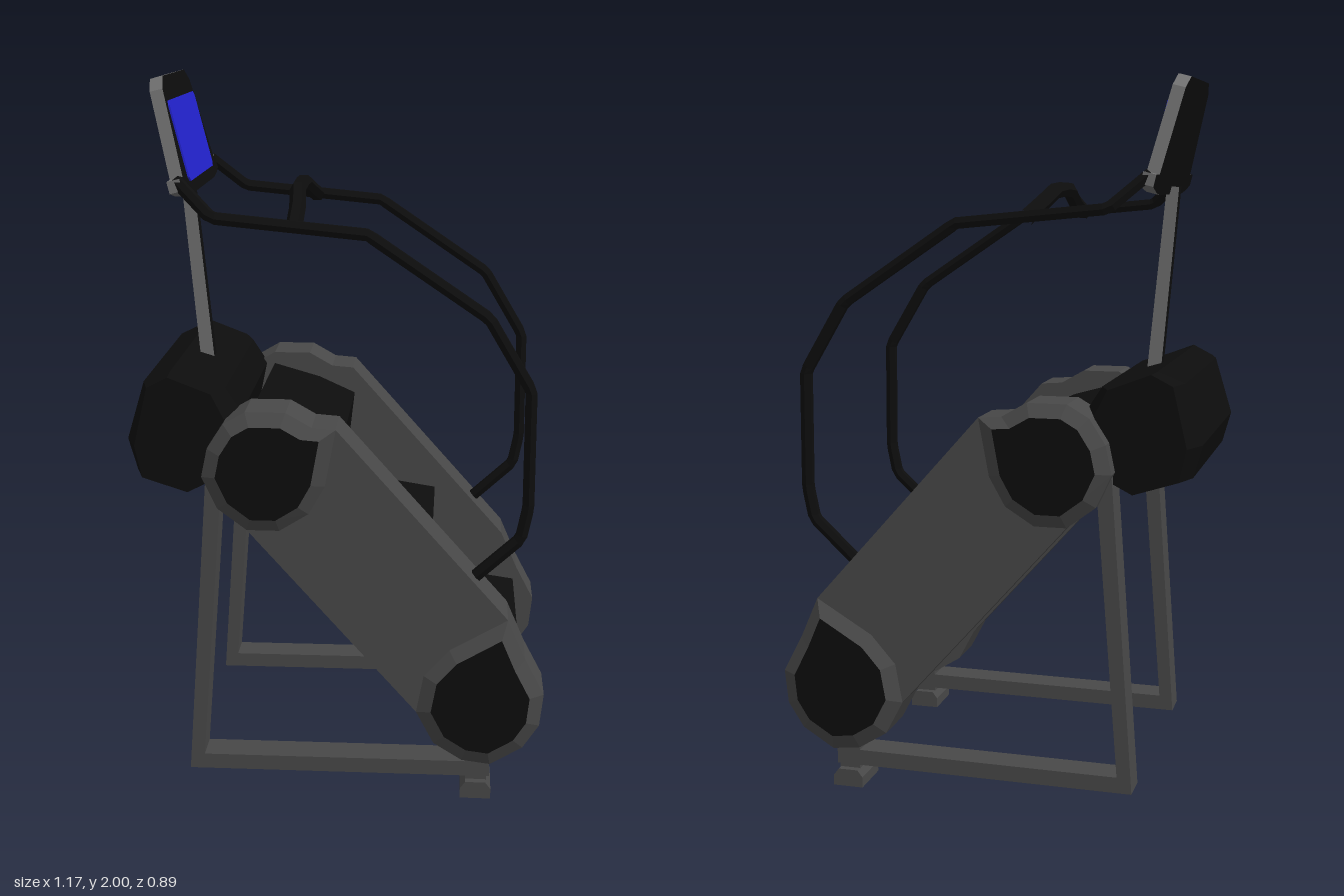
import * as THREE from 'three';

const black = new THREE.MeshStandardMaterial({ color: 0x0d0d0d });
black.name = 'black';
const darkGray = new THREE.MeshStandardMaterial({ color: 0x484848 });
darkGray.name = 'dark gray';
const lightGray = new THREE.MeshStandardMaterial({ color: 0x707070 });
lightGray.name = 'light gray';
const blue = new THREE.MeshStandardMaterial({ color: 0x2323d2 });
blue.name = 'screen blue';

const shapeOf = (pts) => new THREE.Shape(pts.map(([x, y]) => new THREE.Vector2(x, y)));

// Prism of an x-y outline between two z values
function prism(pts, z0, z1, steps = 1) {
  const g = new THREE.ExtrudeGeometry(shapeOf(pts), { depth: z1 - z0, steps, bevelEnabled: false });
  return g.translate(0, 0, z0);
}

// Moves every vertex by a rule and keeps the faces flat
function reshape(g, rule) {
  const p = g.attributes.position;
  const v = new THREE.Vector3();
  for (let i = 0; i < p.count; i++) {
    v.fromBufferAttribute(p, i);
    rule(v);
    p.setXYZ(i, v.x, v.y, v.z);
  }
  g.computeVertexNormals();
  return g;
}

// Faceted bar along straight stretches
function bar(points, radius, segments = 80) {
  const path = new THREE.CatmullRomCurve3(points.map((p) => new THREE.Vector3(...p)), false, 'catmullrom', 0);
  const g = new THREE.TubeGeometry(path, segments, radius, 6, false).toNonIndexed();
  g.computeVertexNormals();
  return g;
}

export function createModel() {
  const model = new THREE.Group();
  model.name = 'stairClimber';
  const add = (name, geometry, material, parent = model) => {
    const mesh = new THREE.Mesh(geometry, material);
    mesh.name = name;
    parent.add(mesh);
    return mesh;
  };

  // Side panel outlines: upper round end, lower round end, and the whole beam
  const upperEnd = [[0.005, 1.09], [-0.06, 1.095], [-0.13, 1.135], [-0.24, 1.135], [-0.3, 1.1],
    [-0.345, 1.03], [-0.362, 0.95], [-0.32, 0.86], [-0.24, 0.8]];
  const lowerEnd = [[0.23, 0.27], [0.28, 0.175], [0.36, 0.125], [0.44, 0.115], [0.53, 0.17],
    [0.575, 0.24], [0.585, 0.335], [0.53, 0.44], [0.48, 0.555]];
  const panel = [...upperEnd, ...lowerEnd];
  const caps = [
    ['upperCap', [...upperEnd, [-0.15, 0.8], [-0.07, 0.85], [-0.025, 0.93]], -0.185, 0.97],
    ['lowerCap', [...lowerEnd, [0.32, 0.46], [0.25, 0.38]], 0.41, 0.32],
  ];
  const frame = [[-0.42, 0.055], [0.44, 0.06], [0.44, 0.105], [-0.378, 0.1], [-0.315, 0.9], [-0.355, 0.95]];

  for (const s of [1, -1]) {
    const side = new THREE.Group();
    side.name = s > 0 ? 'leftSide' : 'rightSide';
    model.add(side);
    const span = (a, b) => (s > 0 ? [a, b] : [-b, -a]);

    add('sidePanel', prism(panel, ...span(0.28, 0.42)), darkGray, side);

    // Tapered end caps with a black outer face
    for (const [name, outline, cx, cy] of caps) {
      const g = reshape(prism(outline, ...span(0.42, 0.444)), (v) => {
        if (Math.abs(v.z) > 0.43) {
          v.x = cx + (v.x - cx) * 0.77;
          v.y = cy + (v.y - cy) * 0.78;
        }
      });
      add(name, g, [black, darkGray], side);
    }

    // Base frame, front foot
    add('baseFrame', prism(frame, ...span(0.3, 0.39)), darkGray, side);
    add('footPost', new THREE.BoxGeometry(0.06, 0.11, 0.09), darkGray, side).position.set(0.402, 0.085, s * 0.345);
    const pad = [[0.358, 0], [0.445, 0], [0.445, 0.03], [0.43, 0.05], [0.373, 0.05], [0.358, 0.03]];
    add('footPad', prism(pad, ...span(0.28, 0.41)), darkGray, side);

    // Handrail sweeping from the panel up to the console
    const z = s * 0.352;
    add('handrail', bar([[0.37, 0.64, z], [0.51, 0.77, z], [0.528, 0.86, z], [0.526, 1.19, z],
      [0.41, 1.385, z], [0.085, 1.605, z], [-0.33, 1.645, z], [-0.43, 1.735, s * 0.295]], 0.018), black, side);
  }

  // Moving stairs between the panels
  const stairs = [[-0.28, 1.0], [-0.24, 1.1], [-0.1, 1.06], [0.01, 1.01], [-0.02, 0.75], [0.265, 0.705],
    [0.24, 0.44], [0.52, 0.4], [0.5, 0.22], [0.41, 0.17], [0.3, 0.22], [0.27, 0.3], [-0.2, 0.83]];
  add('stairs', prism(stairs, -0.28, 0.28), black);

  // Drive housing with tapered ends
  const housing = [[-0.585, 1.02], [-0.56, 0.93], [-0.4, 0.89], [-0.3, 0.93], [-0.265, 1.1],
    [-0.31, 1.17], [-0.46, 1.215], [-0.535, 1.185]];
  add('driveHousing', reshape(prism(housing, -0.375, 0.375, 10), (v) => {
    if (Math.abs(v.z) > 0.35) v.x = -0.44 + (v.x + 0.44) * 0.78;
  }), black);

  // Console post: gray flanks, black front and back
  const post = [[-0.42, 1.17], [-0.38, 1.17], [-0.43, 1.7], [-0.465, 1.7]];
  add('consolePost', prism(post, -0.02, 0.02), [lightGray, black]);

  // Raised grip bar across the rails
  add('gripBar', bar([[-0.11, 1.62, 0.35], [-0.115, 1.655, 0.2], [-0.125, 1.688, 0.09], [-0.125, 1.692, 0],
    [-0.125, 1.688, -0.09], [-0.115, 1.655, -0.2], [-0.11, 1.62, -0.35]], 0.023, 48), black);

  // Tilted console facing the stairs
  const consoleGroup = new THREE.Group();
  consoleGroup.name = 'console';
  consoleGroup.position.set(-0.41, 1.715, 0);
  consoleGroup.rotation.z = 0.245;
  model.add(consoleGroup);
  const half = [[0.165, 0.294], [0.212, 0.262], [0.265, 0.028], [0.315, 0.028], [0.315, -0.005], [0.25, -0.02], [0.19, -0.028]];
  const outline = [...half, ...half.map(([x, y]) => [-x, y]).reverse()];
  add('consoleBody', prism(outline, -0.036, 0).rotateY(Math.PI / 2), [black, lightGray], consoleGroup);

  // Screen plate with clipped corners
  const w = 0.2, b = 0.006, t = 0.228, c = 0.012;
  const screen = [[-w + c, b], [w - c, b], [w, b + c], [w, t - c], [w - c, t], [-w + c, t], [-w, t - c], [-w, b + c]];
  add('screen', prism(screen, 0, 0.005).rotateY(Math.PI / 2), blue, consoleGroup);

  return model;
}
